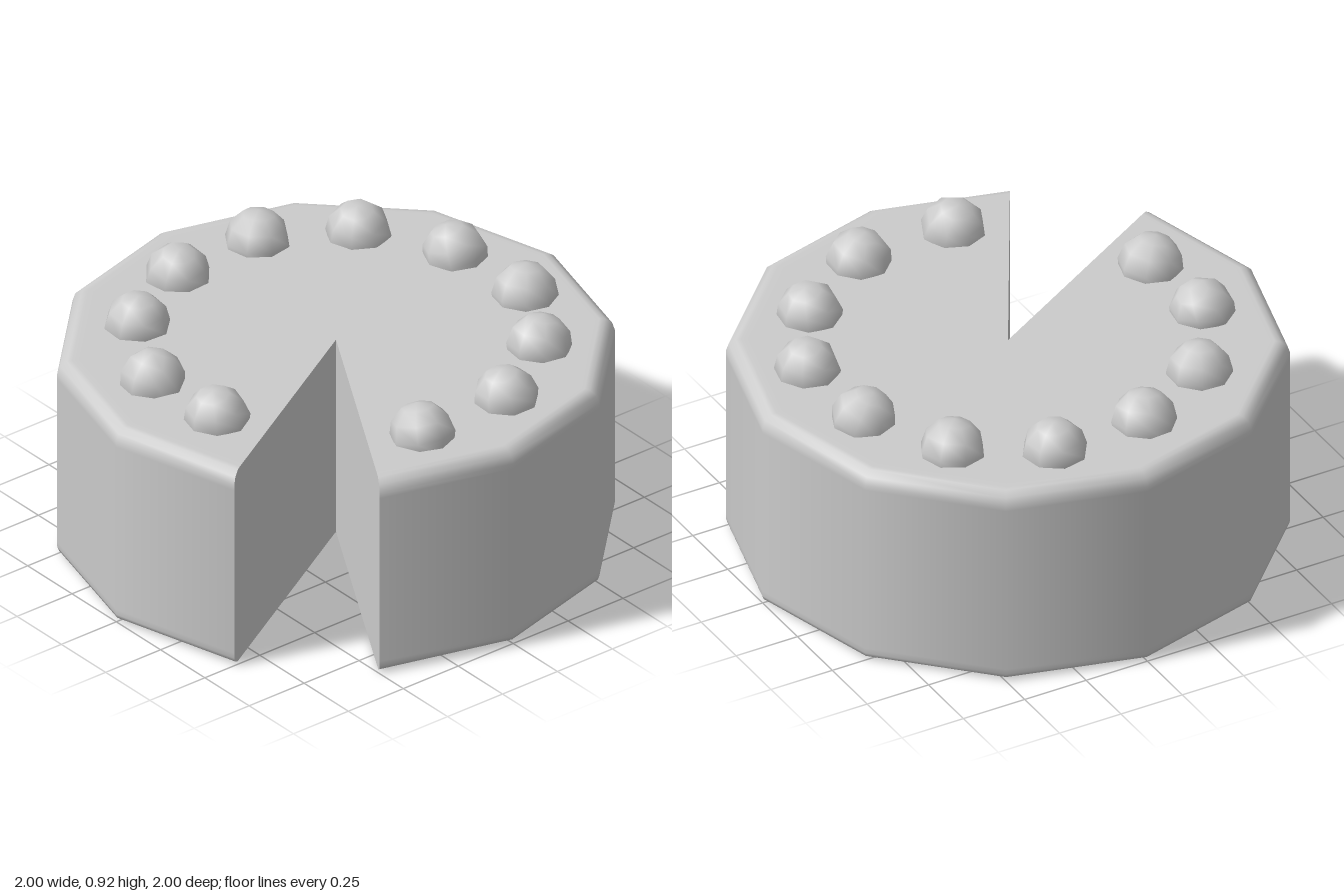
import * as THREE from 'three';

const rad = THREE.MathUtils.degToRad;

export function createModel() {
  const group = new THREE.Group();
  const material = new THREE.MeshStandardMaterial({ color: 0xcccccc });
  const cutMaterial = new THREE.MeshStandardMaterial({ color: 0xcccccc, side: THREE.DoubleSide });

  // Cake body: twelve-sided, with one of the twelve slices missing
  const profile = [
    [0, 0], [0.96, 0], [0.97, 0], [0.995, 0.015], [1, 0.03], [1, 0.05], [1, 0.72],
    [1, 0.74], [0.99, 0.77], [0.965, 0.788], [0.945, 0.79], [0.92, 0.79], [0, 0.79],
  ].map(([r, y]) => new THREE.Vector2(r, y));
  const body = new THREE.Mesh(new THREE.LatheGeometry(profile, 11, rad(60), rad(330)), material);
  body.name = 'cakeBody';
  group.add(body);

  // Flat faces on both sides of the missing slice
  const section = new THREE.ShapeGeometry(new THREE.Shape(profile));
  for (const [name, angle] of [['cutFaceLeft', 60], ['cutFaceRight', 30]]) {
    const face = new THREE.Mesh(section, cutMaterial);
    face.name = name;
    face.rotation.y = rad(angle - 90);
    group.add(face);
  }

  // Ring of berries, each turned a little differently
  const spots = [
    [0.71, 0.18], [0.165, 0.675], [-0.18, 0.69], [-0.52, 0.485], [-0.695, 0.16], [-0.705, -0.21],
    [-0.525, -0.525], [-0.195, -0.70], [0.18, -0.715], [0.49, -0.53], [0.70, -0.21],
  ];
  const berryGeometry = new THREE.SphereGeometry(0.12, 8, 6);
  spots.forEach(([x, z], i) => {
    const berry = new THREE.Mesh(berryGeometry, material);
    berry.name = `berry${i + 1}`;
    berry.position.set(x, 0.797, z);
    berry.rotation.set(0.25 * Math.sin(i * 2.1), i * 0.9, 0.25 * Math.cos(i * 1.7));
    group.add(berry);
  });

  return group;
}
